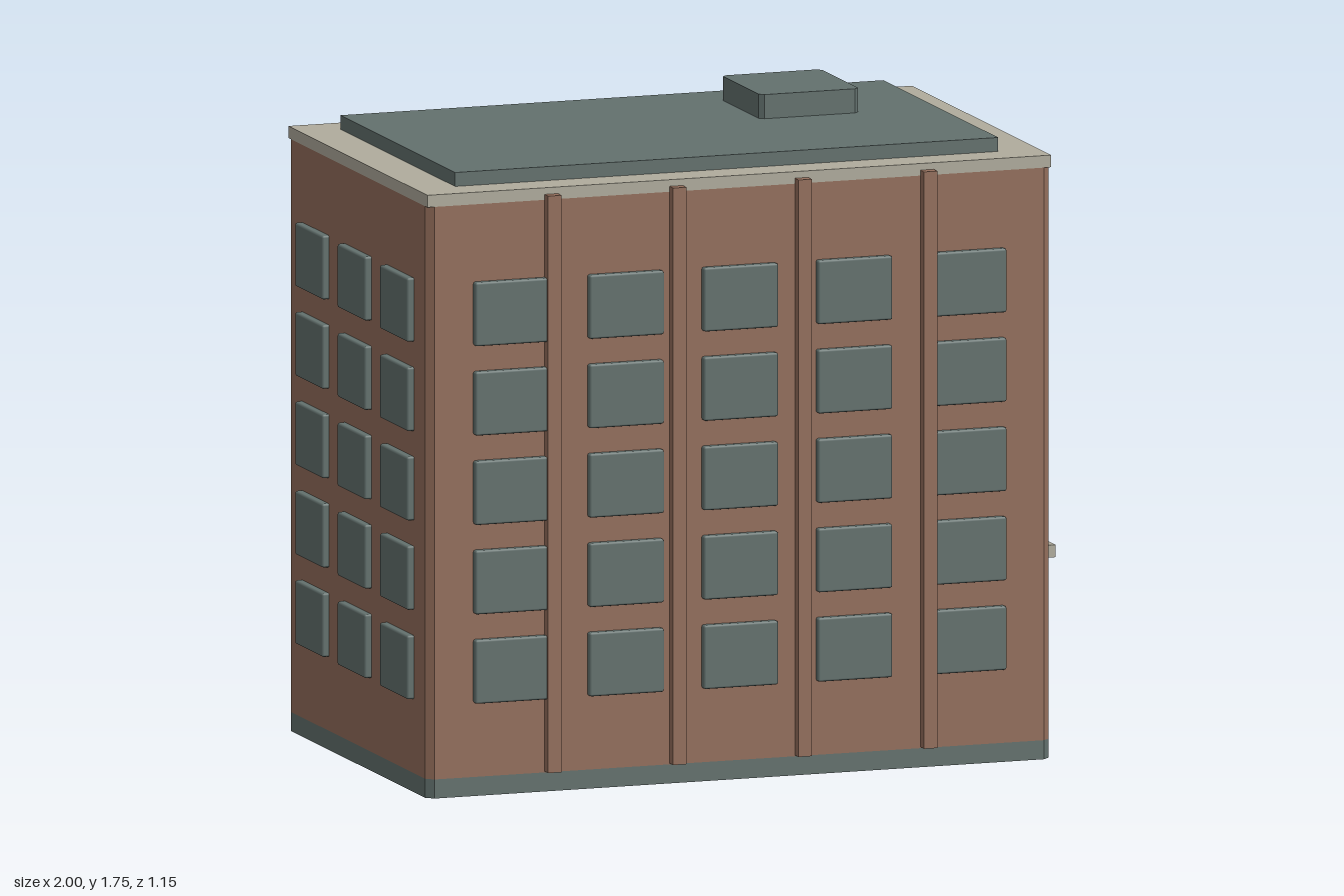
import * as THREE from 'three';
import { RoundedBoxGeometry } from 'three/addons/geometries/RoundedBoxGeometry.js';

const material = (name, color) => {
  const m = new THREE.MeshStandardMaterial({ color });
  m.name = name;
  return m;
};

export function createModel() {
  const brick = material('brick', 0x946f5c);
  const stone = material('stone', 0xb0ac9d);
  const slate = material('slate', 0x63716e);

  const building = new THREE.Group();
  building.name = 'building';

  const group = (name) => {
    const g = new THREE.Group();
    g.name = name;
    building.add(g);
    return g;
  };
  const add = (parent, name, geometry, mat) => {
    const mesh = new THREE.Mesh(geometry, mat);
    mesh.name = name;
    parent.add(mesh);
    return mesh;
  };
  // Box given by its limits on each axis
  const block = (parent, name, mat, [x0, x1], [y0, y1], [z0, z1]) => {
    const geo = new THREE.BoxGeometry(x1 - x0, y1 - y0, z1 - z0);
    geo.translate((x0 + x1) / 2, (y0 + y1) / 2, (z0 + z1) / 2);
    return add(parent, name, geo, mat);
  };
  // Upright prism with chamfered vertical edges
  const prism = (parent, name, mat, [x0, x1], [y0, y1], [z0, z1], c) => {
    const a = -z1, b = -z0;
    const shape = new THREE.Shape([
      [x0 + c, a], [x1 - c, a], [x1, a + c], [x1, b - c],
      [x1 - c, b], [x0 + c, b], [x0, b - c], [x0, a + c],
    ].map(([x, y]) => new THREE.Vector2(x, y)));
    const geo = new THREE.ExtrudeGeometry(shape, { depth: y1 - y0, bevelEnabled: false });
    geo.rotateX(-Math.PI / 2).translate(0, y0, 0);
    return add(parent, name, geo, mat);
  };

  const X = [-0.98, 0.80], Z = [-0.557, 0.546];

  // Main volume
  prism(building, 'plinth', slate, X, [0, 0.052], Z, 0.02);
  prism(building, 'walls', brick, X, [0.052, 1.615], Z, 0.02);
  block(building, 'cornice', stone, X, [1.615, 1.648], Z);
  block(building, 'roofDeck', slate, [-0.865, 0.685], [1.648, 1.686], [-0.465, 0.446]);
  prism(building, 'roofHatch', slate, [0.177, 0.46], [1.686, 1.752], [-0.337, -0.03], 0.012);

  // Windows: five storeys on all four sides
  const windows = group('windows');
  const storeys = [0.341, 0.585, 0.829, 1.073, 1.317];
  const longBays = [-0.743, -0.417, -0.091, 0.235, 0.561];
  const shortBays = [-0.343, -0.007, 0.33];
  const longPane = new RoundedBoxGeometry(0.213, 0.174, 0.04, 1, 0.006);
  const shortPane = new RoundedBoxGeometry(0.04, 0.174, 0.219, 1, 0.006);
  for (const y of storeys) {
    for (const x of longBays) {
      add(windows, 'frontWindow', longPane, slate).position.set(x, y, Z[1]);
      add(windows, 'backWindow', longPane, slate).position.set(x, y, Z[0]);
    }
    for (const z of shortBays) {
      add(windows, 'leftWindow', shortPane, slate).position.set(X[1] - 0.002, y, z);
      add(windows, 'rightWindow', shortPane, slate).position.set(X[0], y, z);
    }
  }

  // Brick pilasters on the front and the entrance side
  const pilasters = group('pilasters');
  for (const x of [-0.627, -0.27, 0.088, 0.446])
    block(pilasters, 'frontPilaster', brick, [x - 0.019, x + 0.019], [0.055, 1.63], [0.53, 0.575]);
  for (const z of [-0.193, 0.178])
    block(pilasters, 'sidePilaster', brick, [0.78, 0.833], [0.055, 1.63], [z - 0.019, z + 0.019]);

  // Entrance porch
  const porch = group('entrance');
  block(porch, 'canopy', stone, [0.79, 0.99], [0.454, 0.488], [-0.337, 0.053]);
  block(porch, 'soffit', slate, [0.79, 0.999], [0.448, 0.456], [-0.308, 0.015]);
  [0.875, 0.905, 0.94].forEach((x, i) =>
    block(porch, 'step', stone, [0.79, x], [0.036 - i * 0.018, 0.054 - i * 0.018], [-0.343, 0.063]));
  for (const z of [0.003, -0.279])
    block(porch, 'column', stone, [0.79, 0.875], [0.054, 0.448], [z - 0.018, z + 0.018]);

  // Double door with a slim centre post
  block(porch, 'doorPost', slate, [0.79, 0.813], [0.054, 0.448], [-0.149, -0.13]);
  block(porch, 'doorLeaf', slate, [0.79, 0.822], [0.054, 0.448], [-0.13, -0.014]);
  block(porch, 'doorLeaf', slate, [0.79, 0.822], [0.054, 0.448], [-0.262, -0.149]);

  return building;
}
